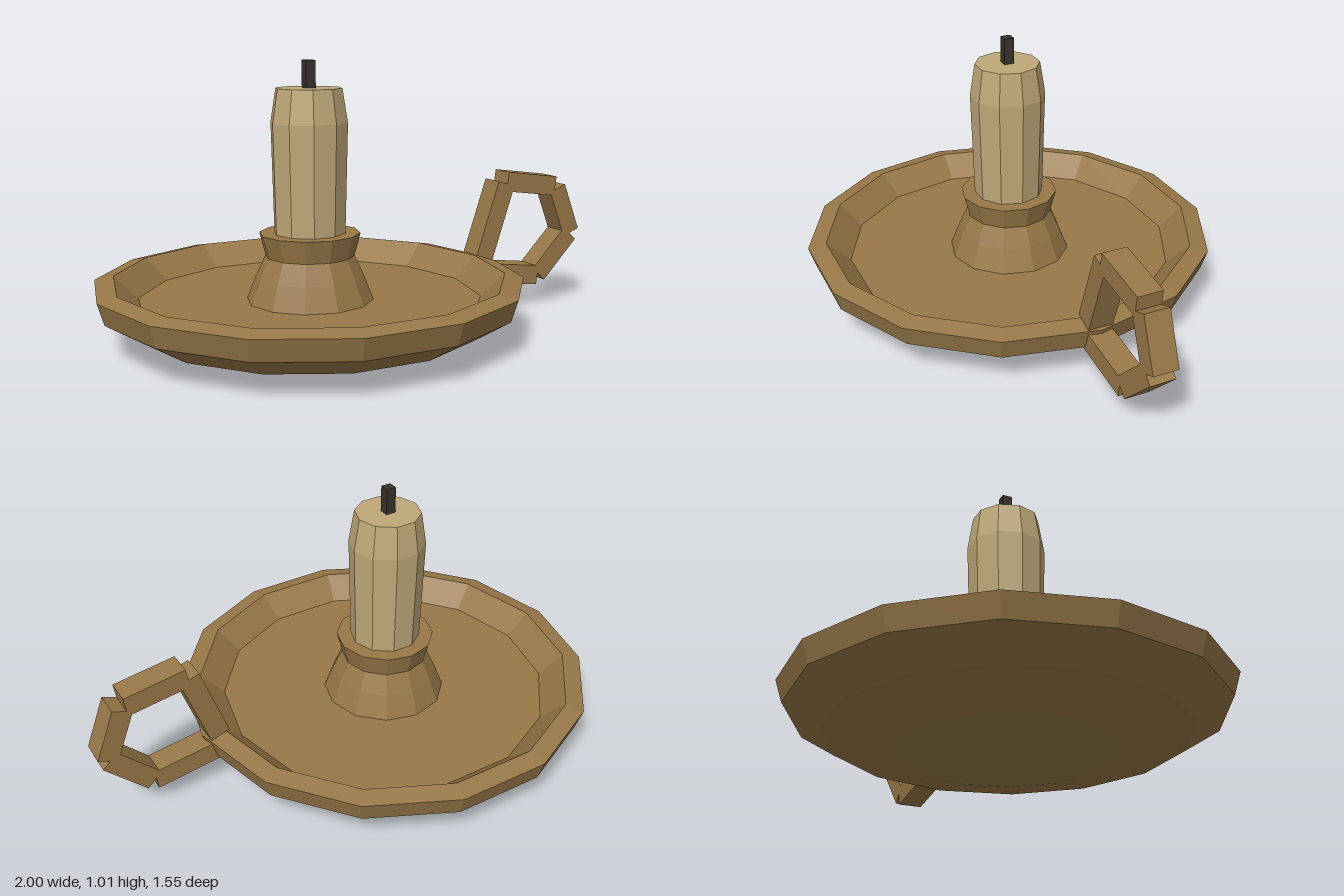
import * as THREE from 'three';

const material = (name, color) => {
  const m = new THREE.MeshStandardMaterial({ color, flatShading: true });
  m.name = name;
  return m;
};

export function createModel() {
  const group = new THREE.Group();
  const brass = material('brass', 0x987848);
  const wax = material('wax', 0xbea878);
  const char = material('charred wick', 0x38322c);
  const axisX = -0.205;

  const add = (name, geometry, mat, x, y) => {
    const mesh = new THREE.Mesh(geometry, mat);
    mesh.name = name;
    mesh.position.set(x, y, 0);
    group.add(mesh);
    return mesh;
  };

  // Faceted turned part with a corner on the x axis
  const turned = (name, profile, sides, mat) => {
    const points = profile.map(([r, y]) => new THREE.Vector2(r, y));
    return add(name, new THREE.LatheGeometry(points, sides, Math.PI / 2), mat, axisX, 0);
  };

  // Dish: underside, rim, then the sunken floor
  turned('dish', [
    [0, 0], [0.385, 0], [0.64, 0.05], [0.77, 0.13], [0.795, 0.21],
    [0.725, 0.225], [0.635, 0.14], [0, 0.13],
  ], 14, brass);

  // Waisted socket
  turned('socket', [
    [0.235, 0.135], [0.2, 0.225], [0.165, 0.3], [0.187, 0.385], [0, 0.385],
  ], 12, brass);

  // Candle with a tapered shoulder
  turned('candle', [
    [0.133, 0.38], [0.143, 0.79], [0.123, 0.915], [0, 0.915],
  ], 10, wax);

  add('wick', new THREE.BoxGeometry(0.038, 0.12, 0.038), char, axisX, 0.955);

  // Handle: straight bars laid end to end, each [x1, y1, x2, y2]
  const bars = [
    [0.537, 0.222, 0.636, 0.512],
    [0.642, 0.52, 0.876, 0.487],
    [0.889, 0.476, 0.962, 0.288],
    [0.957, 0.284, 0.804, 0.128],
    [0.797, 0.124, 0.53, 0.16],
  ];
  bars.forEach(([x1, y1, x2, y2], i) => {
    const length = Math.hypot(x2 - x1, y2 - y1);
    const bar = add(`handleBar${i + 1}`, new THREE.BoxGeometry(length, 0.078, 0.095),
      brass, (x1 + x2) / 2, (y1 + y2) / 2);
    bar.rotation.z = Math.atan2(y2 - y1, x2 - x1);
  });

  return group;
}
